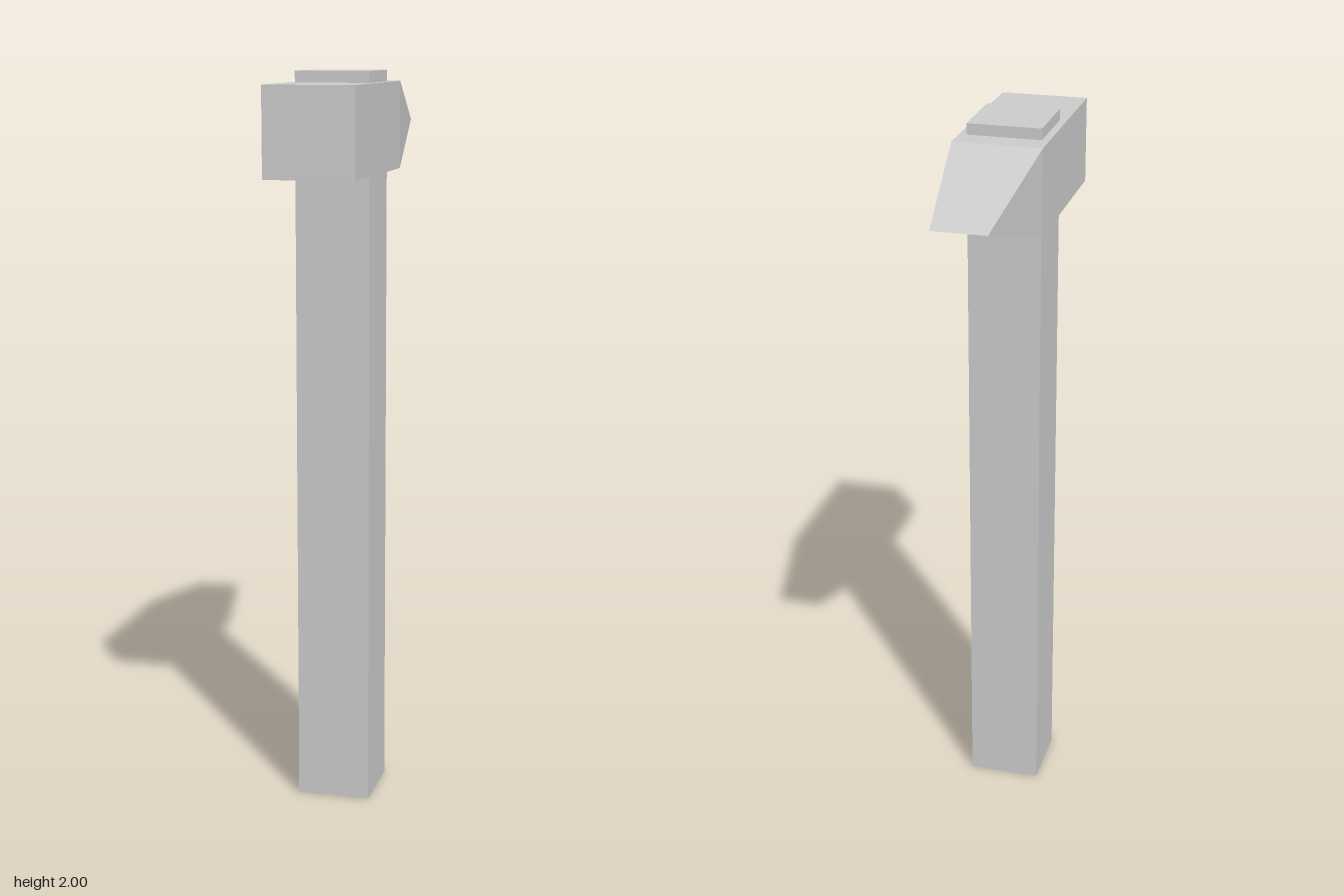
import * as THREE from 'three';
import { ConvexGeometry } from 'three/addons/geometries/ConvexGeometry.js';

const material = new THREE.MeshStandardMaterial({ color: 0xcccccc, flatShading: true });

// Four corners of a rectangle across the head at depth z
function section(z, halfWidth, bottom, top) {
  const corners = [];
  for (const x of [-halfWidth, halfWidth]) {
    for (const y of [bottom, top]) corners.push(new THREE.Vector3(x, y, z));
  }
  return corners;
}

export function createModel() {
  const hammer = new THREE.Group();
  hammer.name = 'hammer';

  // Square handle, passing through the head and showing just above it
  const handle = new THREE.Mesh(new THREE.BoxGeometry(0.2, 2, 0.2), material);
  handle.name = 'handle';
  handle.position.set(0, 1, 0.095);
  hammer.add(handle);

  // Head: square block at the front, tapering to a narrow horizontal edge at the back
  const bottom = 1.735, top = 1.97, tipY = (bottom + top) / 2;
  const points = [
    ...section(0.43, 0.12, bottom, top),
    ...section(-0.076, 0.12, bottom, top),
    new THREE.Vector3(-0.073, tipY, -0.43),
    new THREE.Vector3(0.073, tipY, -0.43),
  ];
  const head = new THREE.Mesh(new ConvexGeometry(points), material);
  head.name = 'head';
  hammer.add(head);

  return hammer;
}
